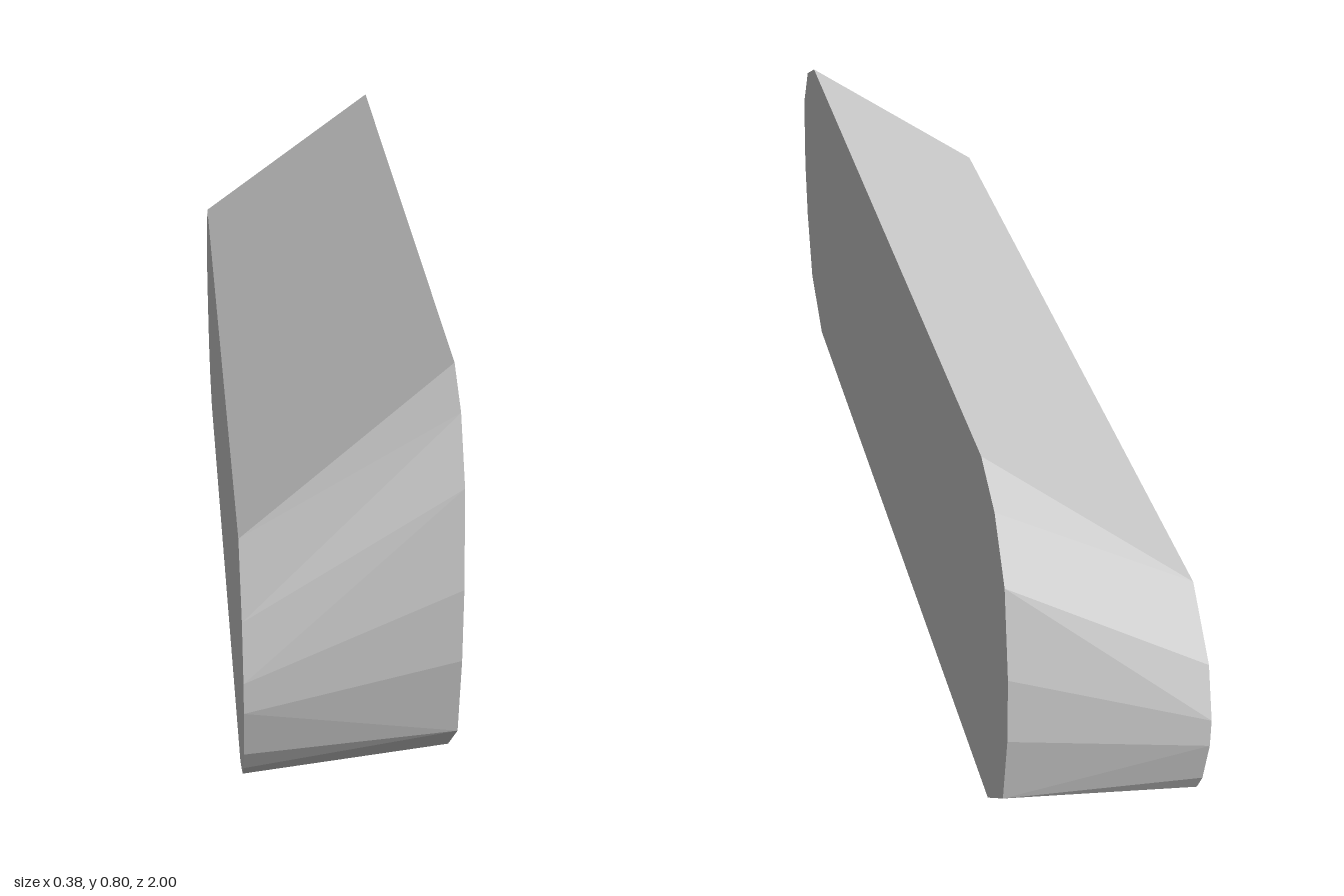
import * as THREE from 'three';
import { ConvexGeometry } from 'three/addons/geometries/ConvexGeometry.js';

// Half profiles as [z, y], from the bottom edge up to the top edge
const smallEnd = [[0.8, 0], [0.9, 0.04], [0.95, 0.085], [0.975, 0.13], [1, 0.23], [1, 0.29], [0.967, 0.393], [0.86, 0.5]];
const largeEnd = [[0.86, 0.06], [0.972, 0.16], [1, 0.32], [1, 0.46], [0.972, 0.64], [0.9, 0.748], [0.805, 0.8]];

// Mirrors a half profile front to back at a given x
function endPoints(profile, x) {
  return profile.flatMap(([z, y]) => [new THREE.Vector3(x, y, z), new THREE.Vector3(x, y, -z)]);
}

export function createModel() {
  const group = new THREE.Group();
  group.name = 'wedgeBlock';

  // Solid block tapering from the tall rounded end to the low one
  const body = new THREE.Mesh(
    new ConvexGeometry([...endPoints(smallEnd, -0.19), ...endPoints(largeEnd, 0.19)]),
    new THREE.MeshStandardMaterial({ color: 0xcccccc, flatShading: true })
  );
  body.name = 'taperedBody';
  group.add(body);
  return group;
}
